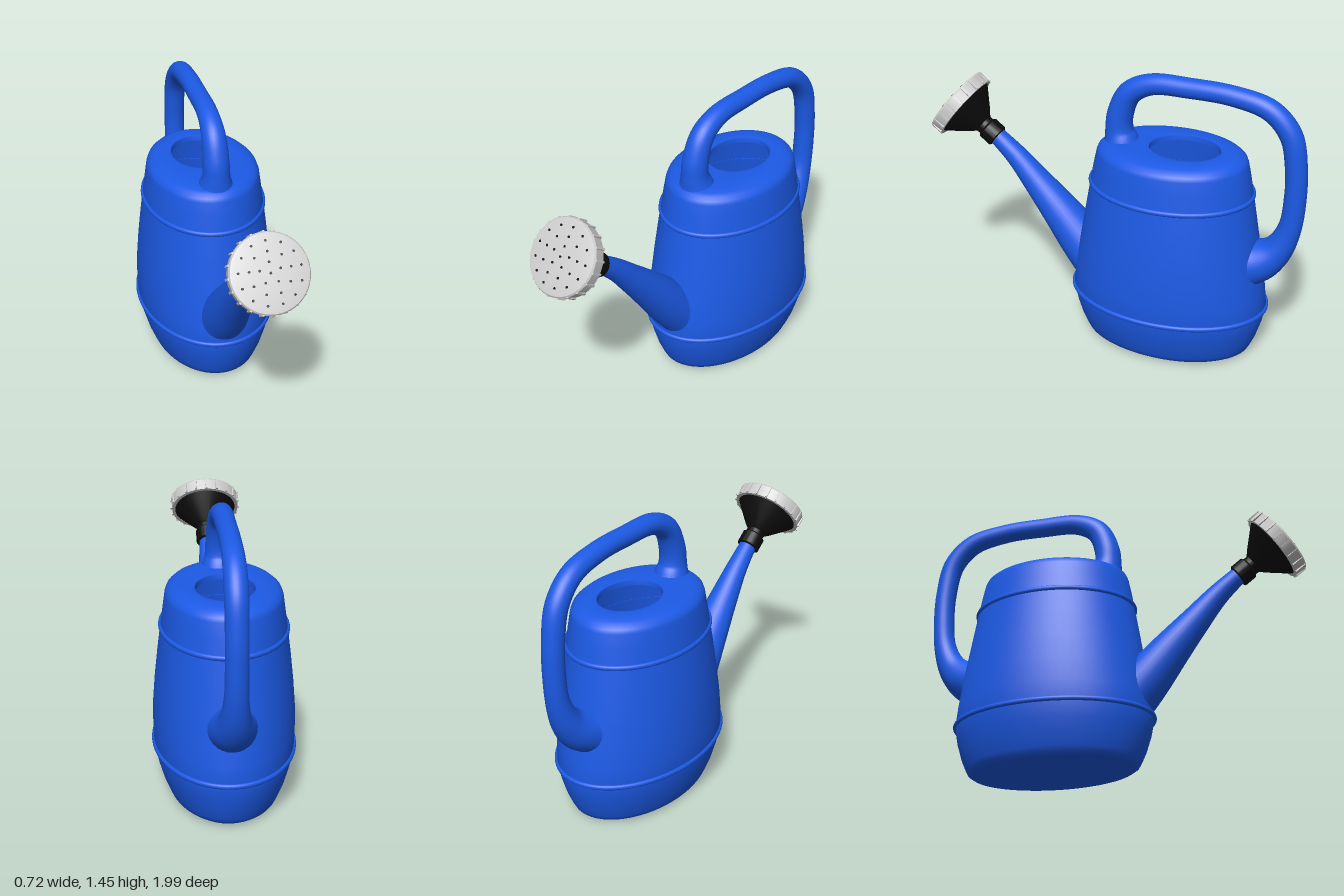
import * as THREE from 'three';
import { mergeVertices, toCreasedNormals } from 'three/addons/utils/BufferGeometryUtils.js';

const blue = new THREE.MeshStandardMaterial({ color: 0x1c5ae6, side: THREE.DoubleSide });
const black = new THREE.MeshStandardMaterial({ color: 0x0c0c0c });
const grey = new THREE.MeshStandardMaterial({ color: 0xcccccc });
const BODY_Z = -0.315;

function part(name, geometry, material, parent) {
  const mesh = new THREE.Mesh(geometry, material);
  mesh.name = name;
  parent.add(mesh);
  return mesh;
}

// Skin over a list of equal-sized closed rings of points
function loft(rings) {
  const n = rings[0].length, index = [];
  for (let r = 0; r < rings.length - 1; r++) {
    for (let i = 0; i < n; i++) {
      const j = (i + 1) % n, a = r * n, b = a + n;
      index.push(a + i, a + j, b + j, a + i, b + j, b + i);
    }
  }
  const g = new THREE.BufferGeometry().setFromPoints(rings.flat());
  g.setIndex(index);
  g.computeVertexNormals();
  return g;
}

// Horizontal ellipse
function ellipse(y, rx, rz, cz = BODY_Z, n = 72) {
  return Array.from({ length: n }, (_, i) => {
    const a = (i / n) * Math.PI * 2;
    return new THREE.Vector3(rx * Math.cos(a), y, cz - rz * Math.sin(a));
  });
}

// Round tube of varying radius in the x = 0 plane; stations are [z, y, radius]
function taperedTube(stations, steps, sides = 28) {
  // the radius rides along in the curve's x component
  const curve = new THREE.CatmullRomCurve3(stations.map(([z, y, r]) => new THREE.Vector3(r, y, z)), false, 'centripetal');
  const X = new THREE.Vector3(1, 0, 0), rings = [];
  for (let s = 0; s <= steps; s++) {
    const p = curve.getPoint(s / steps), t = curve.getTangent(s / steps).setX(0).normalize();
    const N = t.clone().cross(X), c = new THREE.Vector3(0, p.y, p.z);
    rings.push(Array.from({ length: sides }, (_, i) => {
      const a = (i / sides) * Math.PI * 2;
      return c.clone().addScaledVector(X, p.x * Math.cos(a)).addScaledVector(N, p.x * Math.sin(a));
    }));
  }
  return loft(rings);
}

function lathe(points, segments = 48) {
  return new THREE.LatheGeometry(points.map(([r, y]) => new THREE.Vector2(r, y)), segments);
}

export function createModel() {
  const model = new THREE.Group();
  model.name = 'wateringCan';

  // Oval tank, from the closed bottom up to the filling hole and its lip
  const levels = [
    [0.004, 0, 0], [0.004, 0.2, 0.35], [0.004, 0.23, 0.385], [0.01, 0.258, 0.415], [0.025, 0.277, 0.437],
    [0.05, 0.288, 0.45], [0.1, 0.308, 0.471], [0.18, 0.331, 0.495], [0.265, 0.347, 0.511], [0.36, 0.35, 0.5],
    [0.47, 0.348, 0.484], [0.6, 0.338, 0.462], [0.74, 0.323, 0.438], [0.875, 0.306, 0.415], [0.97, 0.293, 0.398],
    [1.035, 0.284, 0.384], [1.055, 0.277, 0.376], [1.07, 0.26, 0.36], [1.08, 0.238, 0.34], [1.088, 0.205, 0.31, -0.325],
    [1.09, 0.17, 0.24, -0.35], [1.09, 0.145, 0.182, -0.38], [1.084, 0.142, 0.178, -0.38], [1.06, 0.142, 0.178, -0.38],
  ];
  part('tank', loft(levels.map(([y, rx, rz, cz]) => ellipse(y, rx, rz, cz))), blue, model);

  // Raised bands round the tank
  for (const [name, y, rx, rz] of [['lowerBand', 0.265, 0.347, 0.511], ['upperBand', 0.875, 0.306, 0.415]]) {
    const rings = [];
    for (let k = 0; k <= 10; k++) {
      const a = -Math.PI / 2 + (k / 10) * Math.PI;
      const out = 0.011 * Math.cos(a);
      rings.push(ellipse(y + 0.013 * Math.sin(a), rx + out, rz + out));
    }
    part(name, loft(rings), blue, model);
  }

  // Spout, starting inside the tank wall
  part('spout', taperedTube([
    [0.08, 0.36, 0.132], [0.17, 0.46, 0.12], [0.29, 0.6, 0.099], [0.42, 0.745, 0.075],
    [0.54, 0.875, 0.056], [0.66, 0.98, 0.044],
  ], 36), blue, model);

  // Looped handle, flared where it meets the tank
  part('handle', taperedTube([
    [-0.055, 1.03, 0.1], [-0.045, 1.08, 0.086], [-0.036, 1.13, 0.071], [-0.04, 1.21, 0.066], [-0.09, 1.33, 0.06],
    [-0.2, 1.393, 0.053], [-0.4, 1.405, 0.05], [-0.62, 1.4, 0.05], [-0.8, 1.357, 0.053],
    [-0.902, 1.25, 0.055], [-0.938, 1.09, 0.054], [-0.944, 0.93, 0.054], [-0.927, 0.76, 0.058],
    [-0.875, 0.635, 0.077], [-0.805, 0.565, 0.104], [-0.71, 0.52, 0.13],
  ], 110), blue, model);

  // Spray head, built along +y with its face at y = 0, then tilted forward
  const head = new THREE.Group();
  head.name = 'sprayHead';
  head.position.set(0, 1.14, 0.88);
  head.rotation.x = Math.atan2(0.8, 0.6);
  model.add(head);

  const funnel = lathe([
    [0, -0.295], [0.052, -0.295], [0.06, -0.29], [0.06, -0.225], [0.049, -0.215], [0.049, -0.195],
    [0.075, -0.17], [0.168, -0.065], [0.168, -0.05],
  ]);
  part('funnel', toCreasedNormals(funnel, 0.6), black, head);

  const rose = lathe([
    [0.165, -0.07], [0.182, -0.07], [0.187, -0.01], [0.181, -0.001], [0.165, 0.002], [0.09, 0.007], [0, 0.009],
  ]);
  part('rose', toCreasedNormals(rose, 0.6), grey, head);

  // Grip ribs on the rim
  for (let i = 0; i < 20; i++) {
    const a = (i / 20) * Math.PI * 2;
    const rib = part('rimRib', new THREE.BoxGeometry(0.011, 0.06, 0.012), grey, head);
    rib.position.set(0.185 * Math.sin(a), -0.038, 0.185 * Math.cos(a));
    rib.rotation.y = a;
  }

  // Water holes in concentric rings
  for (const [count, radius, y] of [[1, 0, 0.009], [5, 0.05, 0.0085], [9, 0.097, 0.007], [13, 0.145, 0.004]]) {
    for (let i = 0; i < count; i++) {
      const a = Math.PI + (i / count) * Math.PI * 2;
      const hole = part('waterHole', new THREE.CylinderGeometry(0.006, 0.006, 0.004, 10), black, head);
      hole.position.set(radius * Math.sin(a), y, radius * Math.cos(a));
    }
  }
  return model;
}
